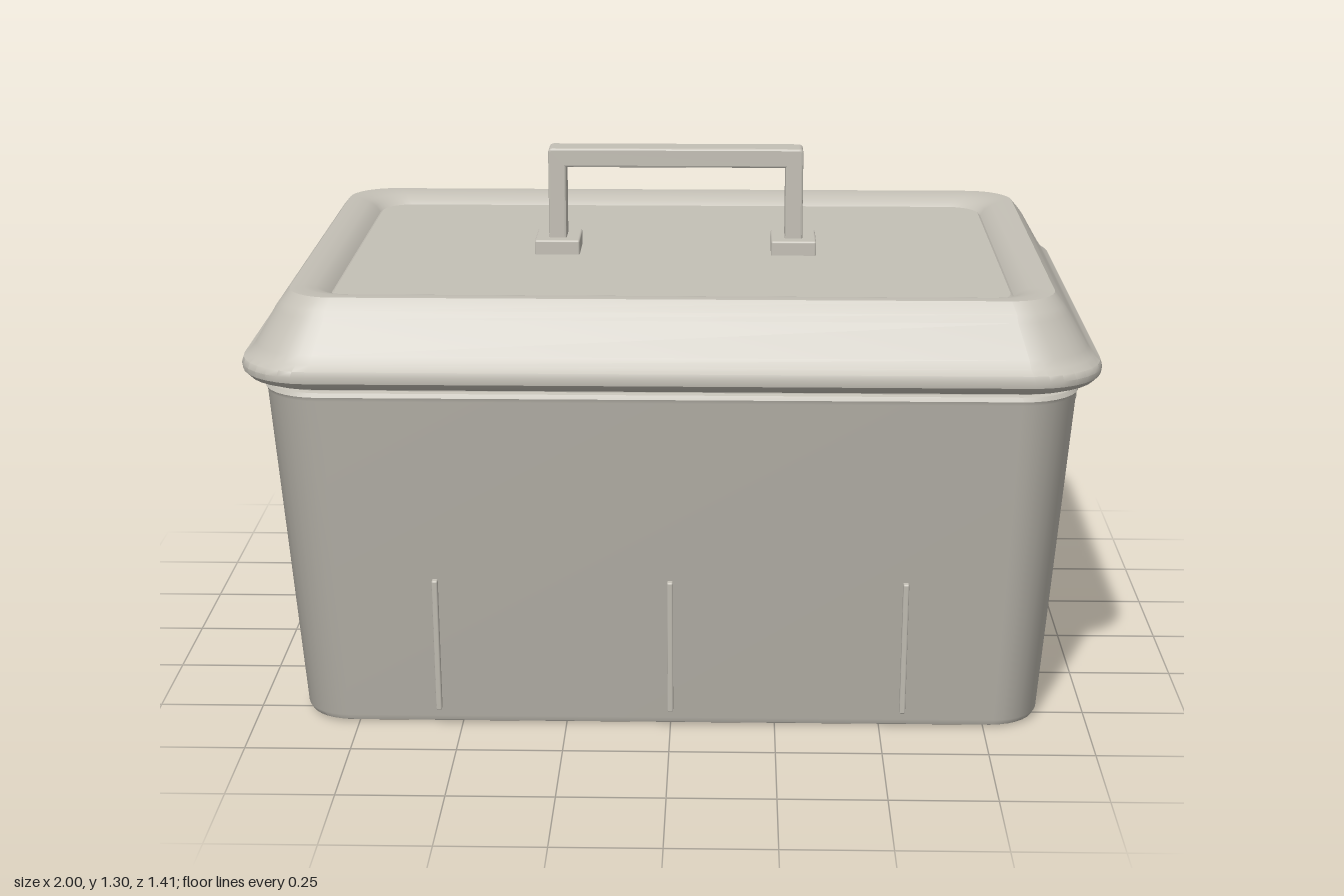
import * as THREE from 'three';
import { toCreasedNormals } from 'three/addons/utils/BufferGeometryUtils.js';
import { RoundedBoxGeometry } from 'three/addons/geometries/RoundedBoxGeometry.js';

const plastic = new THREE.MeshStandardMaterial({ color: 0xc4c0b6, side: THREE.DoubleSide });
plastic.name = 'warm grey plastic';

// Skin a stack of rounded rectangles; each row is [halfX, halfZ, cornerRadius, y]
function loft(rows, crease = 0.6, seg = 8) {
  const pos = [], idx = [], n = 4 * (seg + 1);
  for (const [hx, hz, r, y] of rows) {
    for (let q = 0; q < 4; q++) {
      const sx = q === 0 || q === 3 ? 1 : -1, sz = q < 2 ? -1 : 1;
      for (let k = 0; k <= seg; k++) {
        const a = (q + k / seg) * Math.PI / 2;
        pos.push(sx * (hx - r) + r * Math.cos(a), y, sz * (hz - r) - r * Math.sin(a));
      }
    }
  }
  for (let i = 0; i < rows.length - 1; i++) {
    for (let j = 0; j < n; j++) {
      const a = i * n + j, b = i * n + (j + 1) % n;
      idx.push(a, b, b + n, a, b + n, a + n);
    }
  }
  const g = new THREE.BufferGeometry();
  g.setAttribute('position', new THREE.Float32BufferAttribute(pos, 3));
  g.setIndex(idx);
  return toCreasedNormals(g, crease);
}

function add(parent, name, geometry, x = 0, y = 0, z = 0) {
  const m = new THREE.Mesh(geometry, plastic);
  m.name = name;
  m.position.set(x, y, z);
  parent.add(m);
  return m;
}

const roundedBox = (w, h, d, r) => new RoundedBoxGeometry(w, h, d, 2, r);

export function createModel() {
  const model = new THREE.Group();
  model.name = 'storageBox';

  // Tapered tub, open underneath, with a narrow rolled lower edge
  add(model, 'tub', loft([
    [0.862, 0.572, 0.10, 0.012],
    [0.868, 0.578, 0.10, 0],
    [0.880, 0.590, 0.11, 0.006],
    [0.886, 0.596, 0.11, 0.02],
    [0.946, 0.656, 0.14, 0.825],
    [0.950, 0.660, 0.14, 0.835],
    [0.946, 0.656, 0.14, 0.845],
    [0.935, 0.645, 0.13, 0.848],
    [0.935, 0.645, 0.13, 0.87],
  ]));

  // Lid: bulging rim, sloped shoulder and a top that dips to a recessed panel
  add(model, 'lid', loft([
    [0.935, 0.640, 0.13, 0.858],
    [0.960, 0.665, 0.14, 0.856],
    [0.985, 0.690, 0.16, 0.866],
    [0.998, 0.703, 0.17, 0.880],
    [1.000, 0.705, 0.17, 0.895],
    [0.996, 0.701, 0.17, 0.908],
    [0.980, 0.685, 0.16, 0.920],
    [0.967, 0.671, 0.15, 0.938],
    [0.922, 0.638, 0.13, 1.016],
    [0.910, 0.626, 0.12, 1.033],
    [0.890, 0.602, 0.11, 1.058],
    [0.860, 0.572, 0.10, 1.058],
    [0.835, 0.547, 0.09, 1.052],
    [0.815, 0.526, 0.08, 1.042],
    [0.802, 0.512, 0.08, 1.028],
  ]));
  add(model, 'lidPanel', loft([
    [0.802, 0.512, 0.08, 1.028],
    [0.795, 0.505, 0.075, 1.034],
    [0, 0, 0, 1.034],
  ]));

  // Carrying handle
  const handle = new THREE.Group();
  handle.name = 'handle';
  model.add(handle);
  const arch = new THREE.Shape();
  arch.moveTo(-0.311, 1.05);
  arch.lineTo(-0.311, 1.285);
  arch.quadraticCurveTo(-0.311, 1.291, -0.305, 1.291);
  arch.lineTo(0.305, 1.291);
  arch.quadraticCurveTo(0.311, 1.291, 0.311, 1.285);
  for (const [x, y] of [[0.311, 1.05], [0.277, 1.05], [0.277, 1.253], [-0.277, 1.253], [-0.277, 1.05]]) arch.lineTo(x, y);
  const grip = new THREE.ExtrudeGeometry(arch, {
    depth: 0.06, bevelEnabled: true, bevelSize: 0.005, bevelThickness: 0.005, bevelSegments: 2,
  });
  add(handle, 'grip', grip, 0, 0, -0.03);
  for (const s of [-1, 1]) {
    add(handle, 'handleFoot', roundedBox(0.112, 0.042, 0.134, 0.005), s * 0.294, 1.049, 0);
  }

  // Latch plate with two hinge knuckles on each end
  for (const s of [-1, 1]) {
    const latch = new THREE.Group();
    latch.name = s > 0 ? 'leftLatch' : 'rightLatch';
    model.add(latch);
    add(latch, 'latchPlate', roundedBox(0.028, 0.115, 0.494, 0.004), s * 0.983, 0.815, 0);
    for (const z of [-0.235, 0.235]) {
      add(latch, 'latchKnuckle', roundedBox(0.046, 0.056, 0.05, 0.008), s * 0.962, 0.75, z);
      add(latch, 'latchArm', roundedBox(0.03, 0.1, 0.03, 0.004), s * 0.955, 0.81, z);
    }
  }

  // Slim ribs following the slope of the front and back walls
  for (const s of [-1, 1]) {
    for (const x of [-0.555, 0, 0.555]) {
      const rib = add(model, s > 0 ? 'frontRib' : 'backRib', roundedBox(0.014, 0.34, 0.024, 0.004), x, 0.21, s * 0.612);
      rib.rotation.x = s * 0.0744;
    }
  }

  return model;
}
